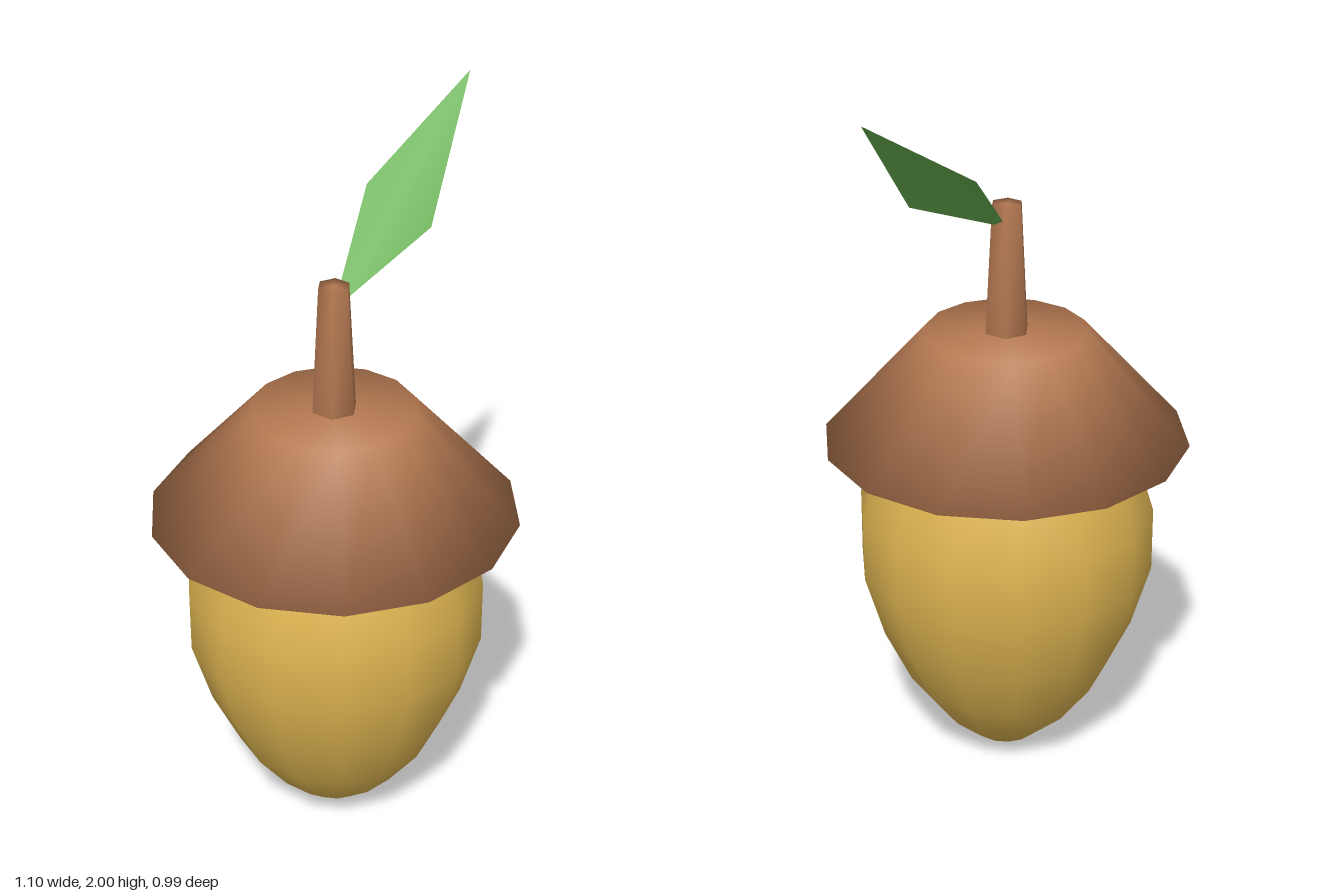
import * as THREE from 'three';
import { mergeVertices } from 'three/addons/utils/BufferGeometryUtils.js';

const AXIS_X = -0.07; // the nut stands off centre, balanced by the leaf

function material(name, color, options = {}) {
  const m = new THREE.MeshStandardMaterial({ color, ...options });
  m.name = name;
  return m;
}

// Closed tapered prism with one smooth normal per corner, so it shades softly
function softTaper(topRadius, bottomRadius, y0, y1, sides) {
  const g = new THREE.CylinderGeometry(topRadius, bottomRadius, y1 - y0, sides);
  g.translate(AXIS_X, (y0 + y1) / 2, 0);
  g.deleteAttribute('normal');
  g.deleteAttribute('uv');
  const merged = mergeVertices(g);
  merged.computeVertexNormals();
  return merged;
}

export function createModel() {
  const group = new THREE.Group();
  group.name = 'acorn';

  const nutYellow = material('nut yellow', 0xdcb350);
  const capBrown = material('cap brown', 0xb67a52);
  const leafGreen = material('leaf green', 0x68b052, { side: THREE.DoubleSide });

  const add = (name, geometry, mat) => {
    const mesh = new THREE.Mesh(geometry, mat);
    mesh.name = name;
    group.add(mesh);
  };

  // Egg-shaped nut, its top tucked inside the cap
  const profile = [
    [0, 0], [0.09, 0.03], [0.185, 0.115], [0.277, 0.24], [0.352, 0.4], [0.405, 0.58],
    [0.405, 0.76], [0.355, 0.92], [0.27, 1.07], [0.15, 1.17], [0, 1.2],
  ].map(([r, y]) => new THREE.Vector2(r, y));
  add('nut', new THREE.LatheGeometry(profile, 14).translate(AXIS_X, 0, 0), nutYellow);

  // Cap and stem
  add('cap', softTaper(0.22, 0.497, 0.96, 1.27, 14), capBrown);
  add('stem', softTaper(0.043, 0.0625, 1.265, 1.625, 6), capBrown);

  // Flat kite-shaped leaf, rising from the stem tip
  const leaf = new THREE.BufferGeometry();
  leaf.setAttribute('position', new THREE.Float32BufferAttribute([
    -0.032, 1.575, 0.012, // stalk end, front
    0.24, 1.69, 0.087, // front corner
    0.545, 2, 0, // tip
    0.2, 1.78, -0.088, // back corner
    -0.035, 1.587, -0.012, // stalk end, back
  ], 3));
  leaf.setIndex([0, 1, 2, 0, 2, 3, 0, 3, 4]);
  leaf.computeVertexNormals();
  add('leaf', leaf, leafGreen);

  return group;
}
